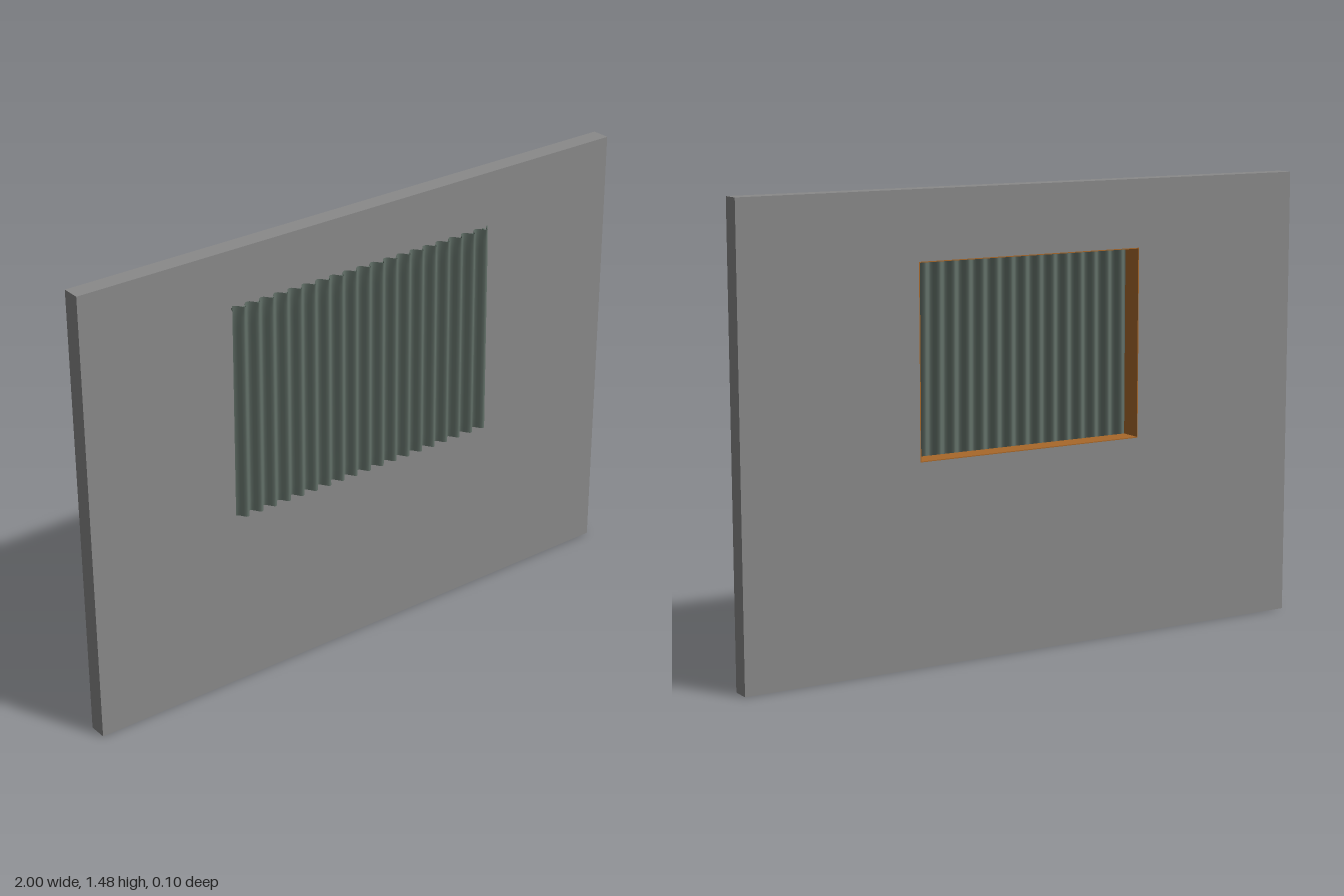
import * as THREE from 'three';

const W = 0.4, BOTTOM = 0.645, TOP = 1.257; // window opening

// rectangular slab with a rectangular hole, extruded from z0 to z1
function framedSlab(name, outer, hole, z0, z1, material) {
  const rect = (Type, [hw, y0, y1]) => {
    const p = new Type();
    p.moveTo(-hw, y0);
    p.lineTo(hw, y0);
    p.lineTo(hw, y1);
    p.lineTo(-hw, y1);
    p.closePath();
    return p;
  };
  const shape = rect(THREE.Shape, outer);
  shape.holes.push(rect(THREE.Path, hole));
  const geo = new THREE.ExtrudeGeometry(shape, { depth: z1 - z0, bevelEnabled: false });
  geo.translate(0, 0, z0);
  const mesh = new THREE.Mesh(geo, material);
  mesh.name = name;
  return mesh;
}

// pleated cloth: a plane waved in depth, flaring slightly to the hem
function curtainGeometry() {
  const pleats = 19, top = 1.305, hem = 0.605;
  const geo = new THREE.PlaneGeometry(1, 1, pleats * 10, 20);
  const pos = geo.attributes.position;
  for (let i = 0; i < pos.count; i++) {
    const u = pos.getX(i) + 0.5, v = 0.5 - pos.getY(i);
    const y = top + (hem - top) * v;
    const phase = u * pleats * Math.PI * 2;
    const pinch = Math.max(0, 1 - v / 0.06); // gathered heading
    const half = 0.488 + 0.007 * v;
    const x = (u - 0.5) * 2 * half + 0.004 * pinch * Math.sin(phase);
    pos.setXYZ(i, x, y, 0.0375 - 0.0145 * Math.cos(phase));
  }
  geo.computeVertexNormals();
  return geo;
}

export function createModel() {
  const wallMat = new THREE.MeshStandardMaterial({ color: 0x8a8a8a });
  wallMat.name = 'wall grey';
  const woodMat = new THREE.MeshStandardMaterial({ color: 0xa8682a });
  woodMat.name = 'wood brown';
  const clothMat = new THREE.MeshStandardMaterial({ color: 0x64726a, side: THREE.DoubleSide });
  clothMat.name = 'cloth green grey';

  const model = new THREE.Group();
  model.name = 'curtainedWindowWall';

  // wall with window opening
  model.add(framedSlab('wall', [1, 0, 1.475], [W, BOTTOM, TOP], -0.05, 0.01, wallMat));

  // wooden lining of the opening and the trim standing off the wall
  const t = 0.003;
  const inner = [W - t, BOTTOM + t, TOP - t];
  model.add(framedSlab('windowLining', [W, BOTTOM, TOP], inner, -0.05, 0.01, woodMat));
  model.add(framedSlab('windowTrim', [W + 0.012, BOTTOM - 0.012, TOP + 0.012], inner, 0.01, 0.022, woodMat));

  // curtain
  const curtain = new THREE.Mesh(curtainGeometry(), clothMat);
  curtain.name = 'curtain';
  model.add(curtain);

  // thin rail behind the heading, held by small pegs
  const rail = new THREE.Mesh(new THREE.BoxGeometry(0.976, 0.005, 0.004), clothMat);
  rail.name = 'curtainRail';
  rail.position.set(0, 1.29, 0.022);
  model.add(rail);
  for (const x of [-0.48, 0, 0.48]) {
    const peg = new THREE.Mesh(new THREE.BoxGeometry(0.006, 0.005, 0.012), clothMat);
    peg.name = 'railPeg';
    peg.position.set(x, 1.29, 0.016);
    model.add(peg);
  }
  return model;
}
